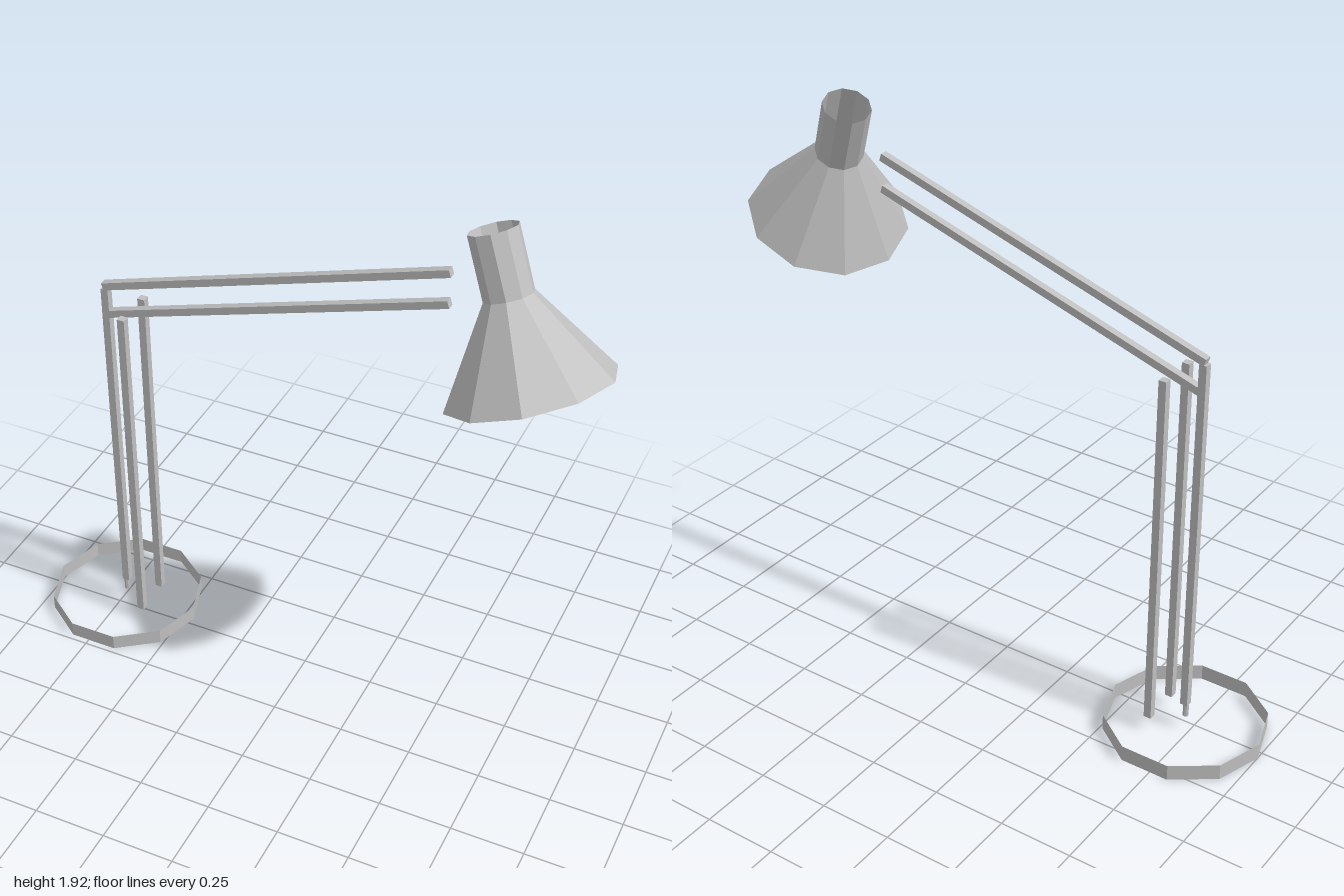
import * as THREE from 'three';

const grey = new THREE.MeshStandardMaterial({ color: 0xbfbfbf, flatShading: true, side: THREE.DoubleSide });
grey.name = 'grey metal';

const SIDES = 10;
const ROD = 0.026;      // square rod thickness
const AXIS_X = -0.73;   // centre of the base
const AXIS_Z = -0.028;

function add(parent, name, geometry, x = 0, y = 0, z = 0) {
  const mesh = new THREE.Mesh(geometry, grey);
  mesh.name = name;
  mesh.position.set(x, y, z);
  parent.add(mesh);
  return mesh;
}

// open ten-sided sleeve with a corner on its x axis
function sleeve(top, bottom, height) {
  return new THREE.CylinderGeometry(top, bottom, height, SIDES, 1, true, Math.PI / 2);
}

// square rod between two points in the plane z
function rod(parent, name, x0, y0, x1, y1, z) {
  const length = Math.hypot(x1 - x0, y1 - y0);
  const mesh = add(parent, name, new THREE.BoxGeometry(length, ROD, ROD), (x0 + x1) / 2, (y0 + y1) / 2, z);
  mesh.rotation.z = Math.atan2(y1 - y0, x1 - x0);
}

export function createModel() {
  const lamp = new THREE.Group();
  lamp.name = 'deskLamp';

  // base ring, open above and below
  add(lamp, 'baseRing', sleeve(0.271, 0.271, 0.055), AXIS_X, 0.0275, AXIS_Z);

  // main post on a thin pivot pin
  add(lamp, 'pivotPin', new THREE.CylinderGeometry(0.01, 0.01, 0.05, 8), AXIS_X, 0.077, AXIS_Z);
  rod(lamp, 'mainPost', -0.727, 0.1, -0.727, 1.355, AXIS_Z);

  // pair of side posts
  for (const side of [1, -1]) {
    rod(lamp, side > 0 ? 'frontPost' : 'backPost', -0.632, 0.05, -0.632, 1.303, AXIS_Z + side * 0.068);
  }

  // parallel sloping arms
  rod(lamp, 'upperArm', -0.733, 1.364, 0.458, 1.734, AXIS_Z);
  rod(lamp, 'lowerArm', -0.72, 1.261, 0.458, 1.626, AXIS_Z);

  // tilted head, with its origin at the middle of the shade opening
  const head = new THREE.Group();
  head.name = 'lampHead';
  head.position.set(0.746, 1.439, 0.033);
  head.rotation.set(-0.2, 0, 0.385, 'ZYX');
  lamp.add(head);
  add(head, 'shade', sleeve(0.079, 0.269, 0.291), 0, 0.1455, 0);
  add(head, 'socketTube', sleeve(0.079, 0.079, 0.204), 0, 0.393, 0);
  add(head, 'shadeCover', new THREE.CircleGeometry(0.269, SIDES).rotateX(Math.PI / 2));

  return lamp;
}
